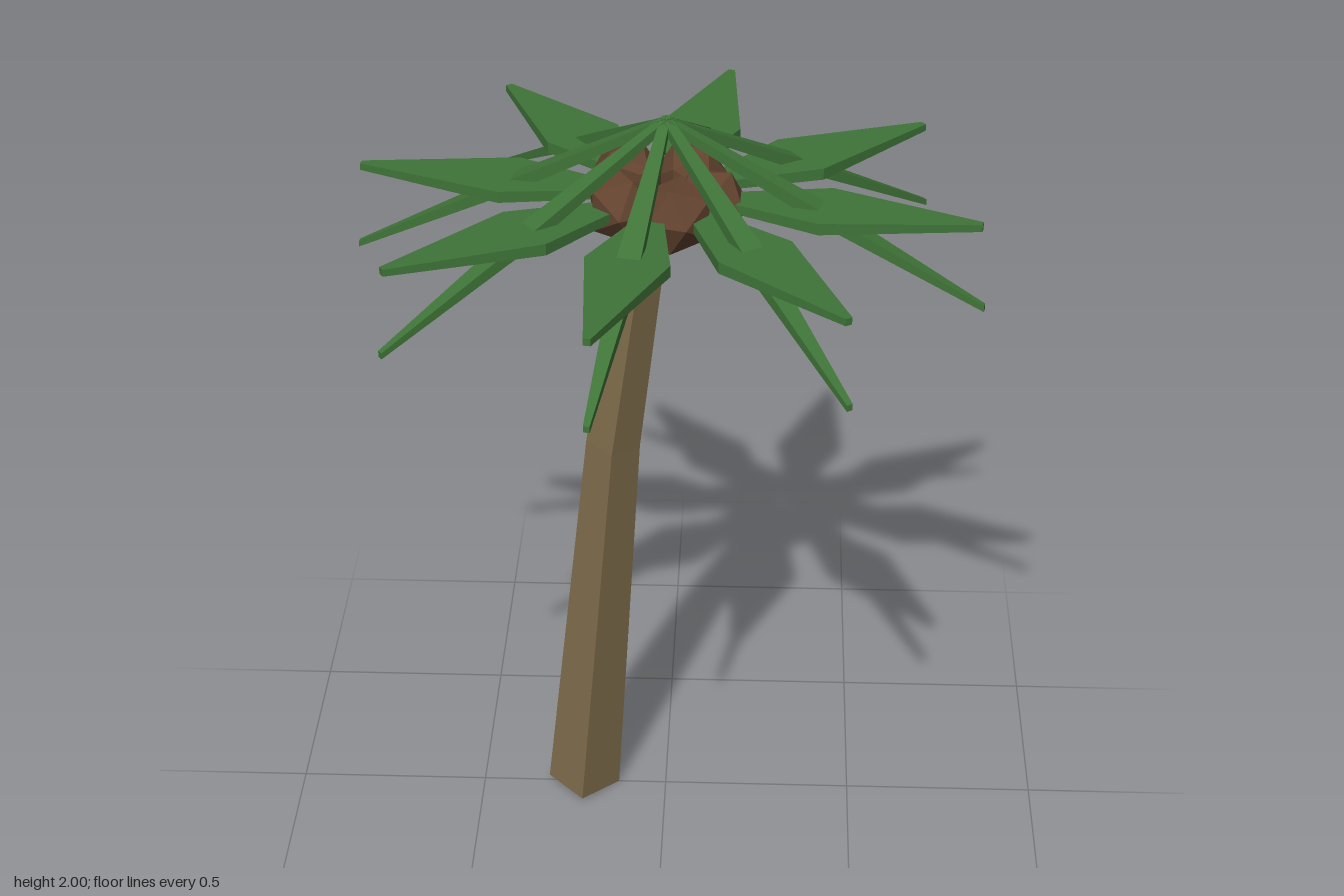
import * as THREE from 'three';

const bark = new THREE.MeshStandardMaterial({ name: 'bark', color: 0x7f6d4c, flatShading: true });
const leaf = new THREE.MeshStandardMaterial({ name: 'leafGreen', color: 0x3f7438, flatShading: true });
const husk = new THREE.MeshStandardMaterial({ name: 'coconutHusk', color: 0x62432f, flatShading: true });

// Skins a closed solid over four-cornered rings (counterclockwise seen from the far end)
function loft(rings) {
  const pos = [];
  const quad = (a, b, c, d) => [a, b, c, a, c, d].forEach((p) => pos.push(...p));
  for (let k = 0; k < rings.length - 1; k++) {
    const [a, b] = [rings[k], rings[k + 1]];
    for (let i = 0; i < 4; i++) {
      const j = (i + 1) % 4;
      quad(a[i], a[j], b[j], b[i]);
    }
  }
  quad(...[...rings[0]].reverse());
  quad(...rings[rings.length - 1]);
  const g = new THREE.BufferGeometry();
  g.setAttribute('position', new THREE.Float32BufferAttribute(pos, 3));
  g.computeVertexNormals();
  return g;
}

// Frond running along +x; each section is [distance, height, half width, half thickness]
const frondGeometry = (sections) =>
  loft(sections.map(([x, y, w, t]) => [[x, y - t, -w], [x, y + t, -w], [x, y + t, w], [x, y - t, w]]));

// Diamond trunk ring; tilt lowers the +x corner
const trunkRing = (x, y, z, r, tilt) => [
  [x + r, y - tilt, z], [x, y, z - r], [x - r, y + tilt, z], [x, y, z + r],
];

export function createModel() {
  const model = new THREE.Group();
  const add = (name, geometry, material, parent = model) => {
    const mesh = new THREE.Mesh(geometry, material);
    mesh.name = name;
    parent.add(mesh);
    return mesh;
  };

  // Leaning trunk with one bend
  add('trunk', loft([
    trunkRing(-0.225, 0.01, 0, 0.096, 0.008),
    trunkRing(-0.135, 1.093, 0.013, 0.069, 0.008),
    trunkRing(-0.036, 1.8, 0.004, 0.055, 0.008),
  ]), bark);

  // Crown: eight broad level fronds and eight narrow drooping ones
  const broad = frondGeometry([
    [0.08, 1.79, 0.008, 0.011],
    [0.4, 1.79, 0.104, 0.015],
    [0.785, 1.79, 0.009, 0.009],
  ]);
  const drooping = frondGeometry([
    [0, 1.988, 0.012, 0.012],
    [0.4, 1.781, 0.03, 0.018],
    [0.8, 1.573, 0.008, 0.008],
  ]);
  const crown = new THREE.Group();
  crown.name = 'crown';
  model.add(crown);
  for (let i = 0; i < 8; i++) {
    const angle = (i * Math.PI) / 4 - 0.19;
    add('broadFrond', broad, leaf, crown).rotation.y = angle;
    add('droopingFrond', drooping, leaf, crown).rotation.y = angle;
  }

  // Coconuts clustered under the crown
  const nut = new THREE.IcosahedronGeometry(0.098, 0);
  [[0.11, 1.78, 0.02], [0.03, 1.79, 0.11], [0.06, 1.79, -0.11], [-0.1, 1.8, -0.08], [-0.1, 1.79, 0.06]]
    .forEach((p, i) => {
      const coconut = add('coconut', nut, husk);
      coconut.position.set(...p);
      coconut.rotation.y = i * 1.3;
    });

  return model;
}
